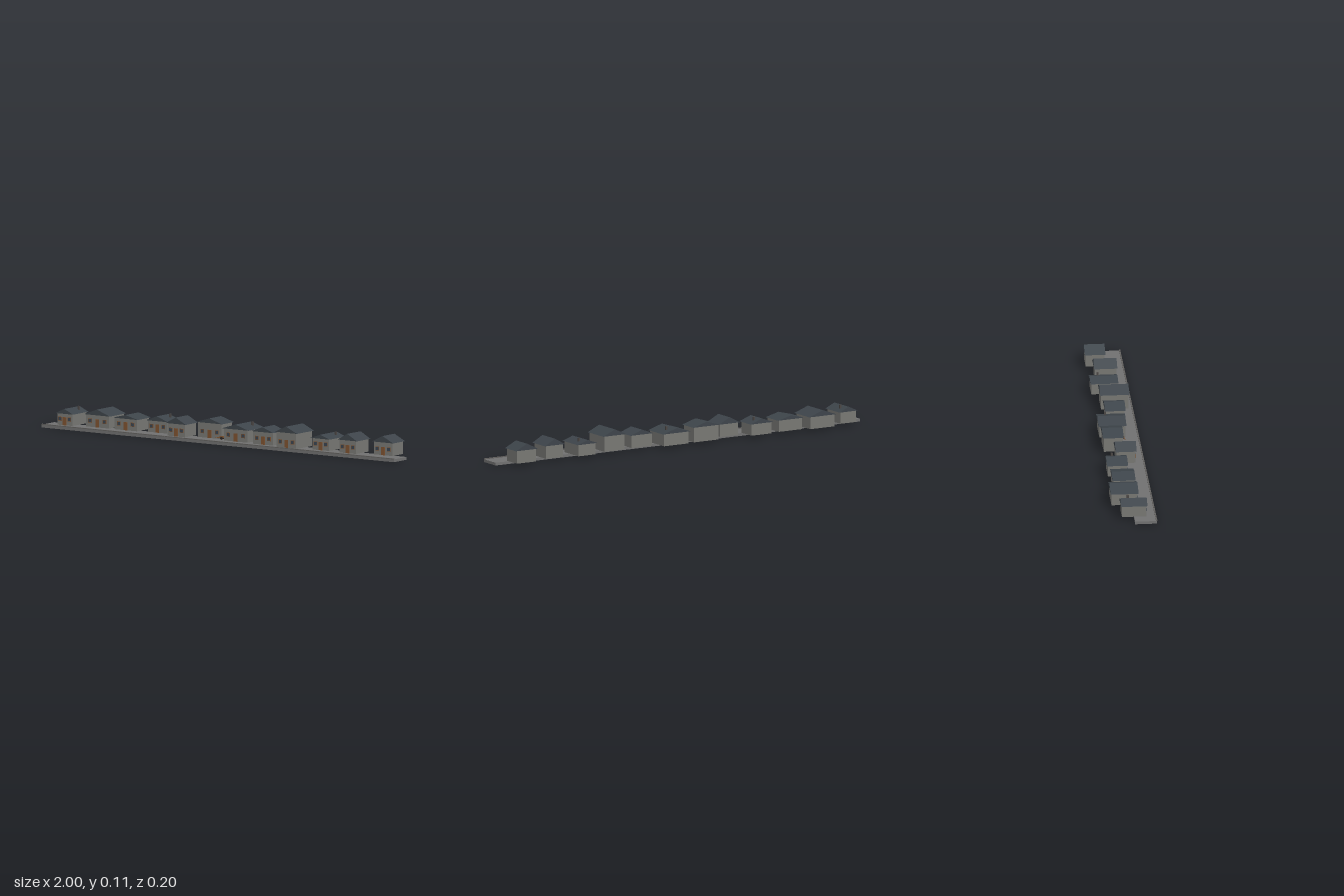
import * as THREE from 'three';

const mat = (name, color) => {
  const m = new THREE.MeshStandardMaterial({ color });
  m.name = name;
  return m;
};
const wallGrey = mat('wall grey', 0x777773);
const roofSlate = mat('roof slate', 0x3d444a);
const pavingGrey = mat('paving grey', 0x707070);
const kerbGrey = mat('kerb grey', 0x62605e);
const woodBrown = mat('wood brown', 0x7d5230);
const glassDark = mat('window glass', 0x3a4450);
const chimneyGrey = mat('chimney grey', 0x4a4644);
const wheelDark = mat('wheel dark', 0x2b2522);

const BASE = 0.013; // top of the paving

function box(name, material, w, h, d, x, y, z) {
  const mesh = new THREE.Mesh(new THREE.BoxGeometry(w, h, d), material);
  mesh.name = name;
  mesh.position.set(x, y, z);
  return mesh;
}

// Solid gable roof with its ridge along z
function gableRoof(w, h, d) {
  const s = new THREE.Shape([
    new THREE.Vector2(-w / 2, 0), new THREE.Vector2(w / 2, 0), new THREE.Vector2(0, h),
  ]);
  const geo = new THREE.ExtrudeGeometry(s, { depth: d, bevelEnabled: false });
  geo.translate(0, 0, -d / 2);
  const mesh = new THREE.Mesh(geo, roofSlate);
  mesh.name = 'roof';
  return mesh;
}

// Roof extents x0..x1 and z0..z1, eave and ridge heights
function house([x0, x1, z0, z1, eave, ridge, chimney]) {
  const g = new THREE.Group();
  g.name = 'house';
  const w = x1 - x0, d = z1 - z0;
  const ww = w - 0.016, wd = d - 0.009, face = wd / 2;
  g.position.set((x0 + x1) / 2, 0, (z0 + z1) / 2);
  g.add(box('walls', wallGrey, ww, eave - BASE, wd, 0, (eave + BASE) / 2, 0));
  const roof = gableRoof(w, ridge - eave, d);
  roof.position.y = eave;
  g.add(roof);
  // Door in the middle, framed windows either side
  g.add(box('door', woodBrown, 0.02, 0.038, 0.003, 0, BASE + 0.019, face + 0.001));
  for (const s of [-1, 1]) {
    const x = s * ww * 0.31;
    g.add(box('windowFrame', woodBrown, 0.02, 0.019, 0.002, x, 0.042, face + 0.0005));
    g.add(box('windowGlass', glassDark, 0.015, 0.014, 0.002, x, 0.042, face + 0.0012));
  }
  if (chimney) {
    const top = ridge + 0.006;
    g.add(box('chimney', chimneyGrey, 0.009, top - eave, 0.009, w * 0.22, (top + eave) / 2, -d * 0.2));
  }
  return g;
}

// Small handcart standing on the paving
function handcart() {
  const g = new THREE.Group();
  g.name = 'handcart';
  g.add(box('cartBed', woodBrown, 0.026, 0.003, 0.016, 0, 0.009, 0));
  for (const s of [-1, 1]) {
    g.add(box('cartSide', woodBrown, 0.026, 0.005, 0.002, 0, 0.012, s * 0.007));
    g.add(box('cartHandle', woodBrown, 0.022, 0.002, 0.002, -0.022, 0.009, s * 0.006));
    const wheel = new THREE.Mesh(new THREE.CylinderGeometry(0.007, 0.007, 0.002, 12), wheelDark);
    wheel.name = 'cartWheel';
    wheel.rotation.x = Math.PI / 2;
    wheel.position.set(0, 0.007, s * 0.01);
    g.add(wheel);
  }
  g.position.set(-0.032, BASE, 0.018);
  g.rotation.y = 0.25;
  return g;
}

export function createModel() {
  const model = new THREE.Group();
  model.name = 'villageStreet';
  model.add(box('paving', pavingGrey, 2, BASE, 0.102, 0, BASE / 2, 0.048));

  // Kerb stones along the front edge
  const stones = 20, step = 2 / stones;
  for (let i = 0; i < stones; i++) {
    model.add(box('kerbStone', kerbGrey, step - 0.003, 0.004, 0.006,
      -1 + step * (i + 0.5), BASE + 0.002, 0.097));
  }

  const houses = [
    [-0.949, -0.848, -0.064, 0.059, 0.067, 0.09, true],
    [-0.808, -0.660, -0.100, 0.030, 0.070, 0.097],
    [-0.644, -0.502, -0.077, 0.030, 0.067, 0.085],
    [-0.470, -0.345, -0.088, 0.010, 0.067, 0.09, true],
    [-0.321, -0.206, -0.035, 0.063, 0.072, 0.102],
    [-0.182, -0.034, -0.082, 0.015, 0.083, 0.105],
    [-0.016, 0.135, -0.088, 0.042, 0.070, 0.093, true],
    [0.158, 0.285, -0.043, 0.053, 0.072, 0.095],
    [0.313, 0.440, -0.052, 0.084, 0.085, 0.114],
    [0.491, 0.600, -0.082, 0.048, 0.067, 0.086, true],
    [0.650, 0.760, -0.051, 0.057, 0.073, 0.104],
    [0.816, 0.937, -0.080, 0.016, 0.073, 0.103],
  ];
  for (const h of houses) model.add(house(h));

  model.add(handcart());
  return model;
}
